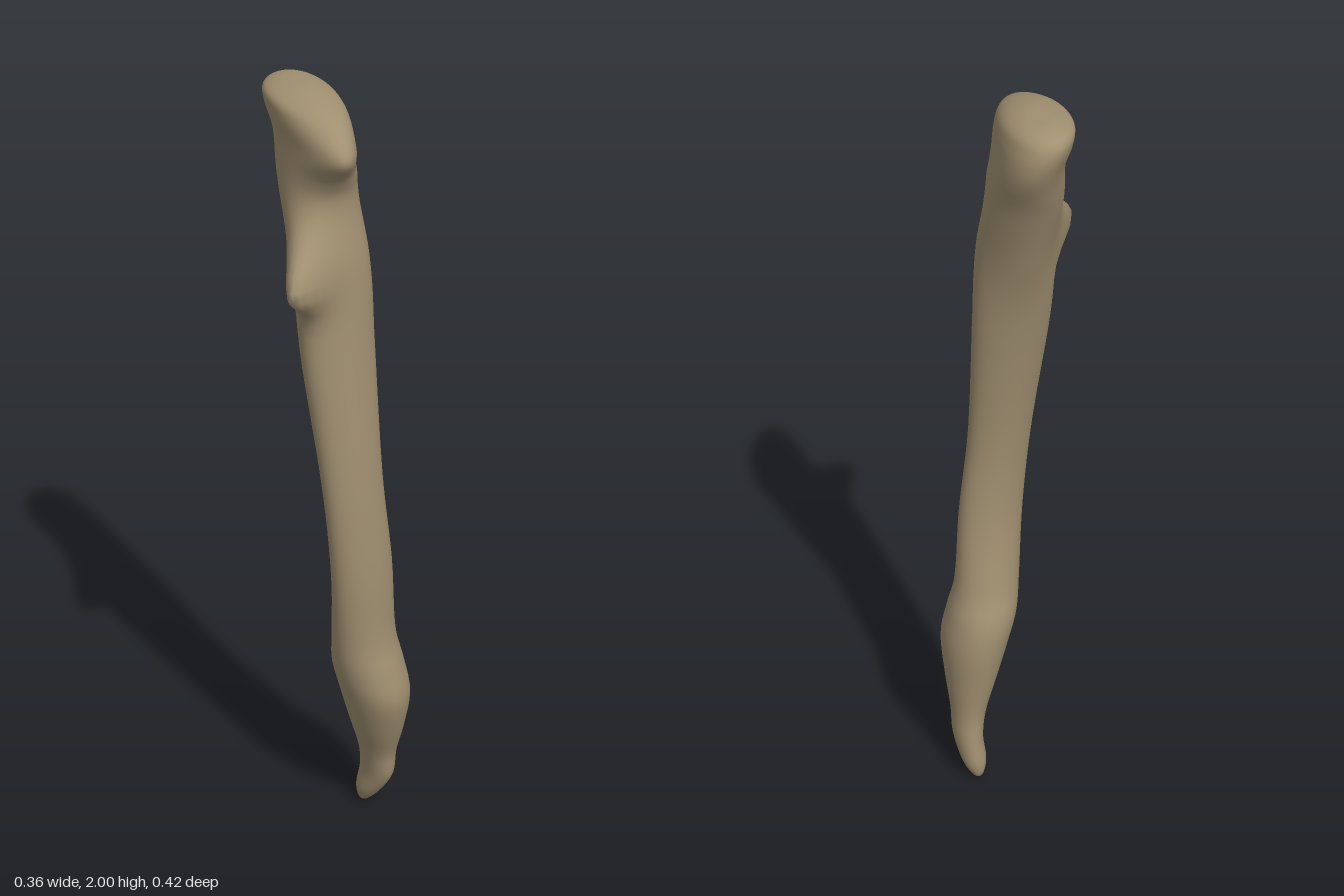
import * as THREE from 'three';

// Bounds of the cross-sections from bottom to top: y, xMin, xMax, zMin, zMax
const SECTIONS = [
  [0, 0.112, 0.112, 0.025, 0.025],
  [0.008, 0.098, 0.128, 0.008, 0.043],
  [0.05, 0.085, 0.15, 0, 0.08],
  [0.12, 0.085, 0.163, 0.008, 0.122],
  [0.2, 0.07, 0.164, 0.015, 0.138],
  [0.3, 0.035, 0.171, 0.005, 0.178],
  [0.41, 0, 0.175, -0.007, 0.21],
  [0.5, -0.024, 0.16, -0.003, 0.2],
  [0.6, -0.036, 0.136, 0.028, 0.181],
  [0.8, -0.054, 0.117, 0.06, 0.179],
  [1.05, -0.074, 0.094, 0.05, 0.164],
  [1.4, -0.104, 0.097, -0.01, 0.13],
  [1.6, -0.1, 0.095, -0.073, 0.112],
  [1.75, -0.09, 0.092, -0.132, 0.085],
  [1.82, -0.087, 0.092, -0.164, 0.106],
  [1.89, -0.088, 0.089, -0.197, 0.158],
  [1.945, -0.092, 0.081, -0.211, 0.113],
  [1.98, -0.083, 0.067, -0.201, 0.04],
  [1.998, -0.038, 0.035, -0.16, -0.04],
  [2, 0, 0, -0.1, -0.1],
];
const SIDES = 40;
const STEPS = 6;

const bell = (d, width) => Math.exp(-((d / width) ** 2));

const smoothCurve = (pick) =>
  new THREE.CatmullRomCurve3(SECTIONS.map((s) => new THREE.Vector3(...pick(s))), false, 'catmullrom', 0.5);

// One horizontal outline, fitted to its bounds
function outline(y, x0, x1, z0, z1) {
  const half = (x1 - x0) / 2;
  const beak = bell(y - 1.89, 0.07);
  const skew = -0.1 * half - 0.03 * beak;
  const taper = 0.2 * beak - 0.2 * bell(y - 1.58, 0.14);
  const angles = Array.from({ length: SIDES }, (_, j) => (j / SIDES) * Math.PI * 2);
  const xs = angles.map((a) => half * Math.cos(a) * (1 - taper * Math.sin(a)) + skew * Math.sin(a));
  const lo = Math.min(...xs);
  const width = Math.max(Math.max(...xs) - lo, 1e-6);

  // Side knob pointing forward and to the right, steeper below
  const rise = bell(y - 1.585, y > 1.585 ? 0.095 : 0.06);
  return angles.map((a, j) => {
    const knob = rise * Math.max(0, Math.cos(a - 2.55)) ** 5;
    return [
      x0 + ((xs[j] - lo) / width) * (x1 - x0) - 0.088 * knob,
      y,
      (z0 + z1) / 2 + ((z1 - z0) / 2) * Math.sin(a) + 0.065 * knob,
    ];
  });
}

// Skin stretched over the stacked outlines
function boneGeometry() {
  const xCurve = smoothCurve(([y, x0, x1]) => [y, x0, x1]);
  const zCurve = smoothCurve(([y, , , z0, z1]) => [y, z0, z1]);
  const rings = (SECTIONS.length - 1) * STEPS;
  const positions = [];
  const index = [];
  for (let i = 0; i <= rings; i++) {
    const a = xCurve.getPoint(i / rings);
    const b = zCurve.getPoint(i / rings);
    for (const p of outline(a.x, a.y, a.z, b.y, b.z)) positions.push(...p);
    if (i === rings) break;
    for (let j = 0; j < SIDES; j++) {
      const p = i * SIDES + j;
      const q = i * SIDES + ((j + 1) % SIDES);
      index.push(p, p + SIDES, q, q, p + SIDES, q + SIDES);
    }
  }
  const geometry = new THREE.BufferGeometry();
  geometry.setAttribute('position', new THREE.Float32BufferAttribute(positions, 3));
  geometry.setIndex(index);
  geometry.computeVertexNormals();
  return geometry;
}

export function createModel() {
  const group = new THREE.Group();
  group.name = 'forearmBone';
  const material = new THREE.MeshStandardMaterial({ color: 0xa08f70 });
  material.name = 'bone tan';
  const bone = new THREE.Mesh(boneGeometry(), material);
  bone.name = 'boneShaft';
  group.add(bone);
  return group;
}
